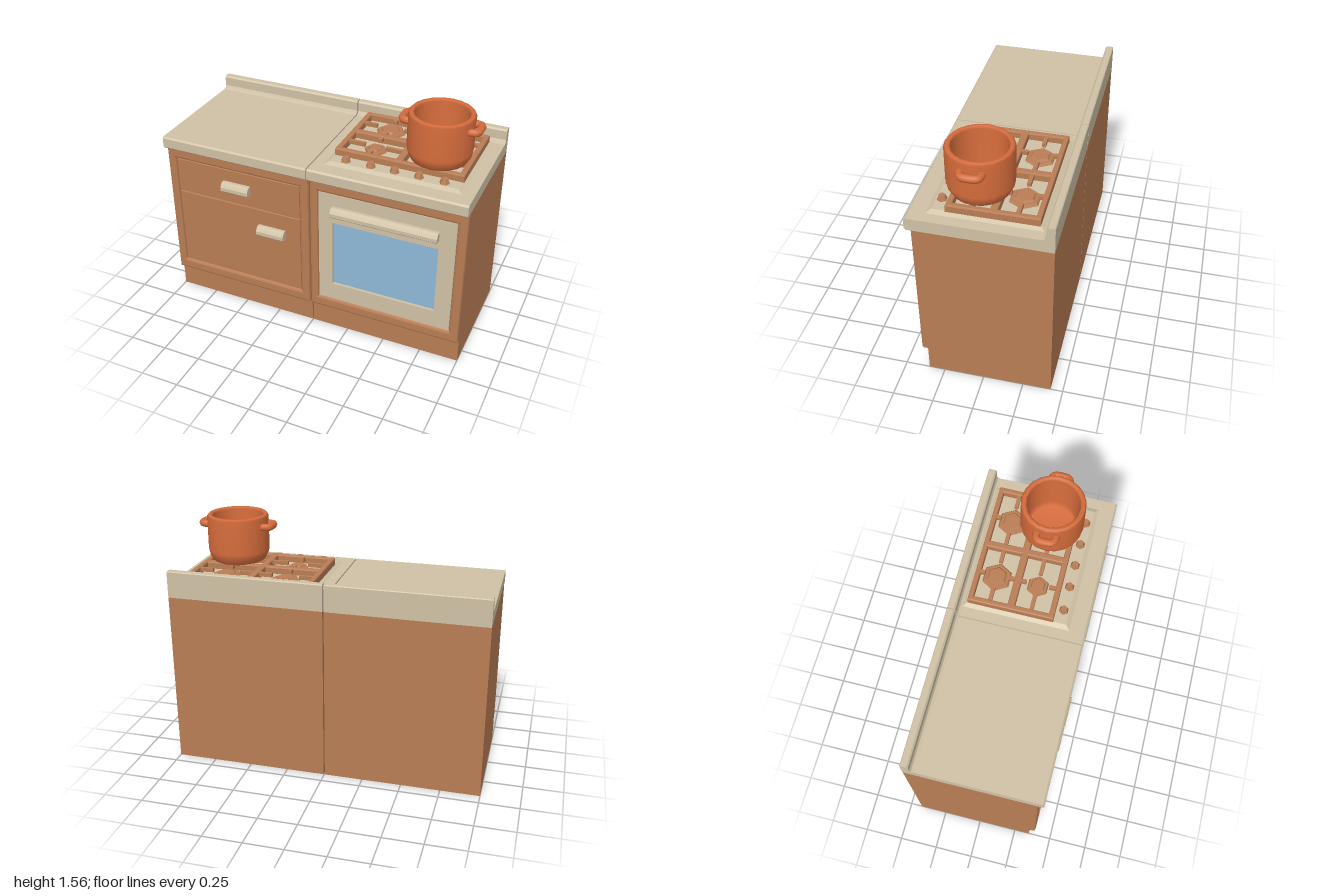
import * as THREE from 'three';

const mat = (name, color) => {
  const m = new THREE.MeshStandardMaterial({ color });
  m.name = name;
  return m;
};

export function createModel() {
  const wood = mat('wood brown', 0xb97d55);
  const cream = mat('cream', 0xcfc1a5);
  const glass = mat('glass blue', 0x8fb9d6);
  const clay = mat('pot orange', 0xd56c3c);
  const root = new THREE.Group();
  root.name = 'kitchenUnit';

  const add = (name, geo, material, parent = root) => {
    const m = new THREE.Mesh(geo, material);
    m.name = name;
    parent.add(m);
    return m;
  };
  // box given by its limits
  const box = (name, x0, x1, y0, y1, z0, z1, material, parent) => {
    const m = add(name, new THREE.BoxGeometry(x1 - x0, y1 - y0, z1 - z0), material, parent);
    m.position.set((x0 + x1) / 2, (y0 + y1) / 2, (z0 + z1) / 2);
    return m;
  };
  const rect = (Type, x0, x1, y0, y1) => new Type([
    [x0, y0], [x1, y0], [x1, y1], [x0, y1]].map(p => new THREE.Vector2(...p)));
  // bevelled plate with rectangular holes, facing +z between z0 and z1
  const plate = (outer, holes, z0, z1, bevel) => {
    const s = rect(THREE.Shape, ...outer);
    s.holes = holes.map(h => rect(THREE.Path, ...h));
    const g = new THREE.ExtrudeGeometry(s, {
      depth: z1 - z0 - 2 * bevel, bevelEnabled: bevel > 0, bevelThickness: bevel,
      bevelSize: bevel, bevelOffset: -bevel, bevelSegments: 2,
    });
    return g.translate(0, 0, z0 + bevel);
  };
  // (z, y) profile swept along x
  const sweepX = (profile, x0, x1) => {
    const s = new THREE.Shape(profile.map(p => new THREE.Vector2(...p)));
    const g = new THREE.ExtrudeGeometry(s, { depth: x1 - x0, bevelEnabled: false });
    return g.rotateY(-Math.PI / 2).translate(x1, 0, 0);
  };

  // worktop with upstand at the back
  const worktop = [
    [0.415, 1.12], [0.425, 1.13], [0.425, 1.19], [0.415, 1.2], [-0.35, 1.2],
    [-0.366, 1.206], [-0.374, 1.222], [-0.374, 1.28], [-0.384, 1.29], [-0.42, 1.29],
    [-0.425, 1.285], [-0.425, 1.12]];
  // rounded pull handle
  const pull = (name, x0, x1, y) => add(name, sweepX([
    [0.37, y - 0.03], [0.42, y - 0.03], [0.428, y - 0.022], [0.428, y + 0.002],
    [0.417, y + 0.02], [0.4, y + 0.03], [0.37, y + 0.03]], x0, x1), cream);

  // carcasses
  for (const [name, x0, x1, in0, in1] of [
    ['cupboard', -1, -0.004, -0.94, -0.065], ['oven', 0.004, 1, 0.06, 0.938]]) {
    box(name + 'Body', x0, x1, 0.17, 1.12, -0.424, 0.355, wood);
    box(name + 'Plinth', x0, x1, 0, 0.172, -0.424, 0.35, wood);
    add(name + 'Frame', plate([x0, x1, 0.17, 1.12], [[in0, in1, 0.248, 1.042]], 0.32, 0.392, 0.016), wood);
    add(name + 'Worktop', sweepX(worktop, x0, x1), cream);
  }

  // cupboard fronts
  add('drawerFront', plate([-0.937, -0.068, 0.803, 1.039], [], 0.34, 0.382, 0.004), wood);
  add('cupboardDoor', plate([-0.937, -0.068, 0.251, 0.797], [], 0.34, 0.382, 0.004), wood);
  pull('drawerHandle', -0.6, -0.41, 0.925);
  pull('doorHandle', -0.36, -0.17, 0.657);

  // oven door
  add('ovenDoor', plate([0.062, 0.936, 0.25, 1.04], [[0.155, 0.833, 0.37, 0.835]], 0.34, 0.382, 0), cream);
  box('ovenWindow', 0.15, 0.838, 0.365, 0.84, 0.358, 0.364, glass);
  pull('ovenHandle', 0.155, 0.833, 0.928);

  // raised hob plate with sloping edges
  const hob = box('hobPlate', 0.06, 0.94, 1.195, 1.215, -0.36, 0.33, cream);
  const hp = hob.geometry.attributes.position;
  for (let i = 0; i < hp.count; i++) {
    if (hp.getY(i) > 0) {
      hp.setX(i, hp.getX(i) * 0.91);
      hp.setZ(i, hp.getZ(i) * 0.9);
    }
  }
  hob.geometry.computeVertexNormals();

  // pan grate with four openings
  const grate = new THREE.Group();
  grate.name = 'panGrate';
  root.add(grate);
  const xs = [[0.131, 0.477], [0.521, 0.872]];
  const zs = [[-0.295, -0.08], [-0.035, 0.18]];
  const holes = xs.flatMap(x => zs.map(z => [x[0], x[1], -z[1], -z[0]]));
  add('grateFrame', plate([0.096, 0.907, -0.214, 0.326], holes, 1.205, 1.26, 0.008)
    .rotateX(-Math.PI / 2), wood, grate);

  // burners and the fingers around them
  for (const [x0, x1] of xs) {
    for (const [z0, z1] of zs) {
      const cx = (x0 + x1) / 2, cz = (z0 + z1) / 2 - 0.004;
      const r = z0 < -0.1 ? 0.1 : 0.075;
      const burner = new THREE.Group();
      burner.name = 'burner';
      burner.position.set(cx, 1.21, cz);
      root.add(burner);
      const hex = (name, a, b, y, h) => {
        const g = new THREE.CylinderGeometry(a, b, h, 6).toNonIndexed();
        g.computeVertexNormals();
        add(name, g.rotateY(Math.PI / 6).translate(0, y + h / 2, 0), wood, burner);
      };
      hex('burnerBase', r * 0.85, r, 0, 0.02);
      hex('burnerCap', r * 0.55, r * 0.65, 0.02, 0.012);
      const hx = (x1 - x0) / 2, hz = (z1 - z0) / 2;
      const inner = Math.min(r * 0.95, hz - 0.032);
      for (const s of [-1, 1]) {
        const fx = [cx + s * r * 0.9, cx + s * (hx + 0.01)].sort((a, b) => a - b);
        const fz = [cz + s * inner, cz + s * (hz + 0.01)].sort((a, b) => a - b);
        box('grateFinger', fx[0], fx[1], 1.232, 1.256, cz - 0.012, cz + 0.012, wood, grate);
        box('grateFinger', cx - 0.012, cx + 0.012, 1.232, 1.256, fz[0], fz[1], wood, grate);
      }
    }
  }

  // control knobs
  for (const x of [0.19, 0.35, 0.5, 0.65, 0.805]) {
    const g = new THREE.CylinderGeometry(0.02, 0.033, 0.034, 6).toNonIndexed();
    g.computeVertexNormals();
    add('knob', g.rotateY(Math.PI / 6), wood).position.set(x, 1.228, 0.26);
  }

  // cooking pot
  const pot = new THREE.Group();
  pot.name = 'pot';
  pot.position.set(0.705, 0, 0.06);
  root.add(pot);
  const side = [[0, 1.255], [0.16, 1.255], [0.172, 1.262], [0.192, 1.3], [0.198, 1.33],
    [0.198, 1.545], [0.188, 1.558], [0.17, 1.558], [0.16, 1.545], [0.158, 1.31], [0.14, 1.285], [0, 1.285]];
  add('potBody', new THREE.LatheGeometry(side.map(p => new THREE.Vector2(...p)), 20), clay, pot);
  for (const s of [-1, 1]) {
    const path = new THREE.CatmullRomCurve3([
      [0.17, -0.058], [0.205, -0.058], [0.226, -0.045], [0.232, 0],
      [0.226, 0.045], [0.205, 0.058], [0.17, 0.058]]
      .map(([x, z]) => new THREE.Vector3(s * x, 1.49, z)));
    add('potHandle', new THREE.TubeGeometry(path, 16, 0.024, 8), clay, pot);
  }
  return root;
}
